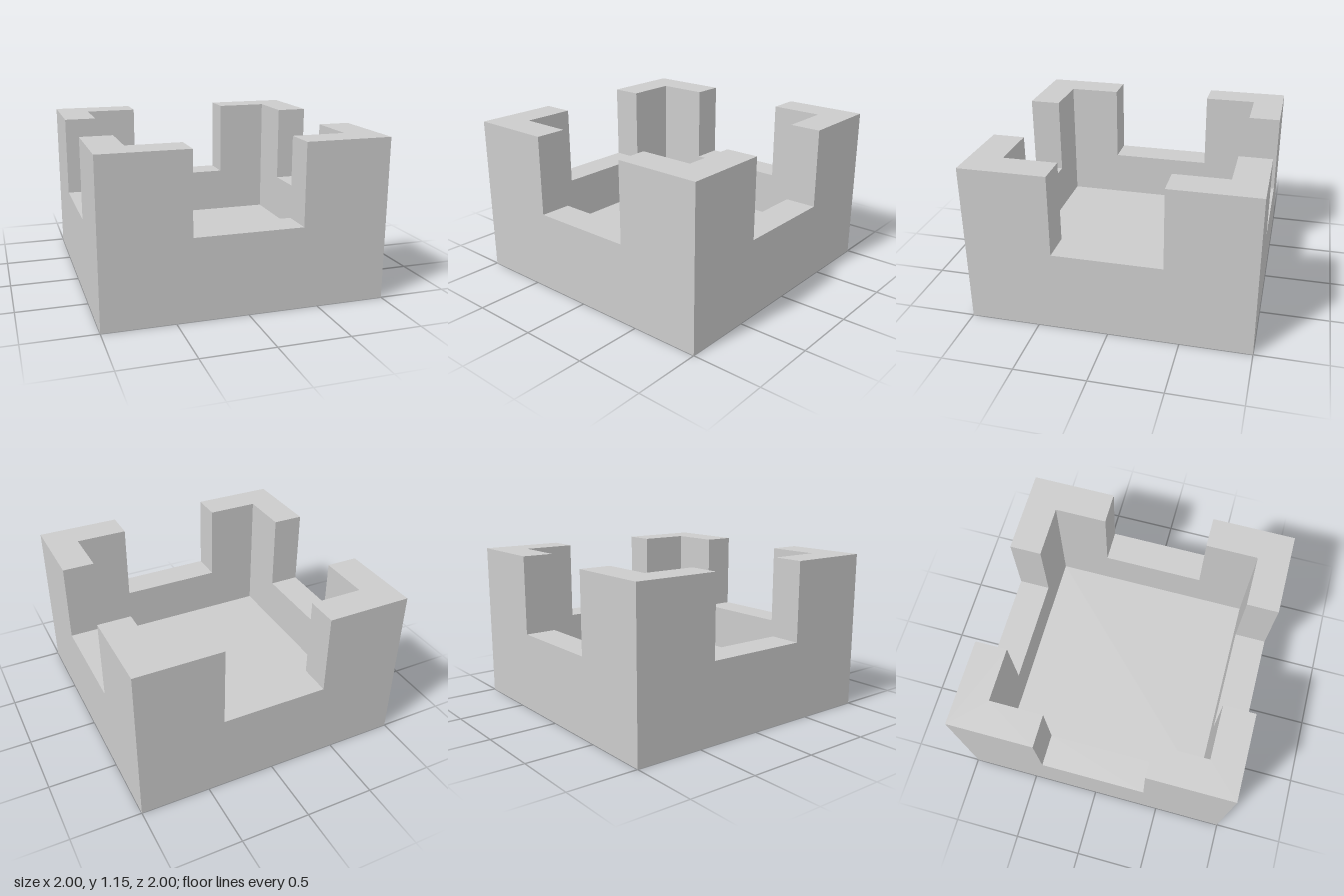
import * as THREE from 'three';

const HALF = 1;          // half the outer width
const THICK = 0.231;     // wall and floor thickness
const HEIGHT = 1.154;    // top of the corner towers
const GAP = 0.385;       // half the width of the wall notch
const SILL = 0.577;      // height of the notch sill
const INNER = HALF - THICK;

// One notched wall, mitred at both ends so that four of them close a square
function wallGeometry() {
  const profile = new THREE.Shape([
    [-HALF, 0], [HALF, 0], [HALF, HEIGHT], [GAP, HEIGHT],
    [GAP, SILL], [-GAP, SILL], [-GAP, HEIGHT], [-HALF, HEIGHT],
  ].map(([x, y]) => new THREE.Vector2(x, y)));
  const geometry = new THREE.ExtrudeGeometry(profile, { depth: THICK, bevelEnabled: false });
  geometry.translate(0, 0, INNER);

  // Pull the inner end corners in to form the mitres
  const pos = geometry.attributes.position;
  for (let i = 0; i < pos.count; i++) {
    const x = pos.getX(i);
    if (pos.getZ(i) < HALF - THICK / 2 && Math.abs(x) > INNER) pos.setX(i, Math.sign(x) * INNER);
  }
  geometry.computeVertexNormals();
  return geometry;
}

export function createModel() {
  const model = new THREE.Group();
  model.name = 'battlementTower';
  const material = new THREE.MeshStandardMaterial({ color: 0xcccccc, flatShading: true });

  // Four identical walls around the square
  const geometry = wallGeometry();
  ['frontWall', 'leftWall', 'backWall', 'rightWall'].forEach((name, i) => {
    const wall = new THREE.Mesh(geometry, material);
    wall.name = name;
    wall.rotation.y = i * Math.PI / 2;
    model.add(wall);
  });

  // Floor slab inside the walls
  const floor = new THREE.Mesh(new THREE.BoxGeometry(2 * INNER, THICK, 2 * INNER), material);
  floor.name = 'floor';
  floor.position.y = THICK / 2;
  model.add(floor);

  return model;
}
